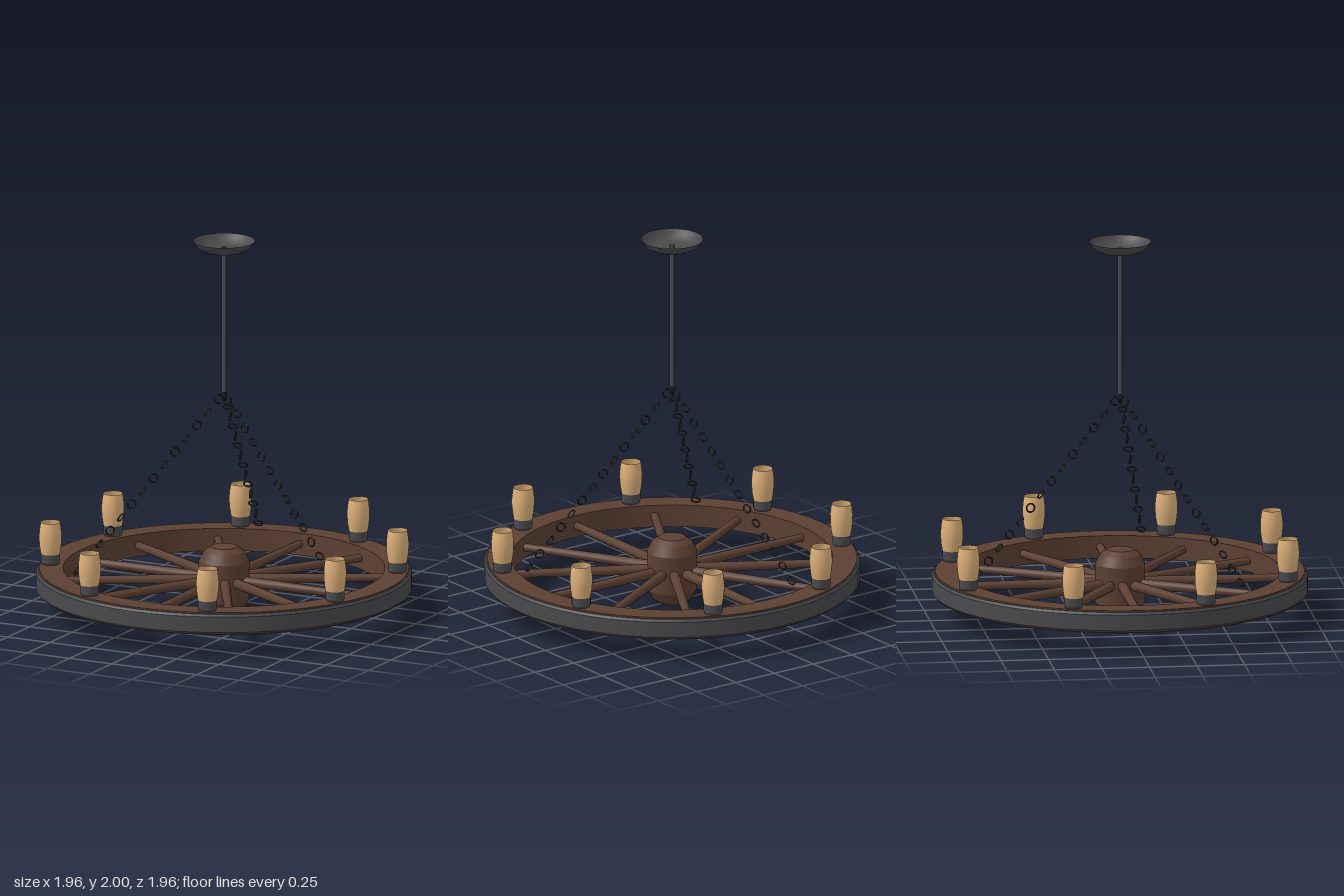
import * as THREE from 'three';

const material = (color) => new THREE.MeshStandardMaterial({ color, side: THREE.DoubleSide });
const wood = material(0x5c4033);
const iron = material(0x4a4a4d);
const chainIron = material(0x2e2e30);
const shadeTan = material(0xdeb07a);

function add(parent, name, geometry, mat) {
  const mesh = new THREE.Mesh(geometry, mat);
  mesh.name = name;
  parent.add(mesh);
  return mesh;
}

// Turned shape from [radius, height] pairs; sharp profiles double each inner point for crisp edges
function turned(points, segments, sharp = false) {
  const pts = points.flatMap(([r, y], i) => {
    const p = new THREE.Vector2(r, y);
    return sharp && i > 0 && i < points.length - 1 ? [p, p.clone()] : [p];
  });
  if (!sharp) return new THREE.LatheGeometry(pts, segments);
  const geo = new THREE.LatheGeometry(pts, segments).toNonIndexed();
  // Normals from each band's slope, smooth around the axis
  const pos = geo.attributes.position, nor = geo.attributes.normal;
  for (let i = 0; i < pos.count; i += 3) {
    const v = [0, 1, 2].map((k) => new THREE.Vector3().fromBufferAttribute(pos, i + k));
    const face = v[1].clone().sub(v[0]).cross(v[2].clone().sub(v[0])).normalize();
    const mid = v[0].clone().add(v[1]).add(v[2]).setY(0).normalize();
    const radial = face.dot(mid);
    v.forEach((p, k) => {
      const out = p.setY(0).lengthSq() > 1e-8 ? p.normalize() : mid;
      const n = out.clone().multiplyScalar(radial).setY(face.y).normalize();
      nor.setXYZ(i + k, n.x, n.y, n.z);
    });
  }
  return geo;
}

export function createModel() {
  const model = new THREE.Group();
  model.name = 'wagonWheelChandelier';

  // Wheel: wooden rim, iron tyre, hub and spokes
  const wheel = new THREE.Group();
  wheel.name = 'wheel';
  model.add(wheel);
  add(wheel, 'rim', turned(
    [[0.84, 0.12], [0.965, 0.12], [0.965, 0.24], [0.84, 0.24], [0.84, 0.12]], 64, true), wood);
  add(wheel, 'ironTyre', turned(
    [[0.962, 0.125], [0.972, 0.125], [0.982, 0.137], [0.982, 0.22], [0.972, 0.232], [0.962, 0.232]],
    64, true), iron);
  add(wheel, 'hub', turned(
    [[0, 0], [0.07, 0], [0.105, 0.025], [0.132, 0.075], [0.132, 0.28], [0.105, 0.33], [0.07, 0.355], [0, 0.355]],
    24, true), wood);

  const spokeGeometry = new THREE.CylinderGeometry(0.021, 0.028, 0.77, 12)
    .rotateZ(-Math.PI / 2).translate(0.47, 0.18, 0);
  for (let i = 0; i < 12; i++) {
    add(wheel, 'spoke', spokeGeometry, wood).rotation.y = (i * Math.PI) / 6;
  }

  // Lamps: iron cup and open barrel-shaped shade
  const cupGeometry = turned(
    [[0, 0.235], [0.042, 0.235], [0.05, 0.252], [0.05, 0.305], [0, 0.305]], 20, true);
  const shadeGeometry = turned(
    [[0.05, 0.295], [0.056, 0.33], [0.0595, 0.37], [0.0595, 0.4], [0.056, 0.435], [0.051, 0.465]], 20);
  for (let i = 0; i < 8; i++) {
    const a = ((i + 0.5) * Math.PI) / 4;
    const lamp = new THREE.Group();
    lamp.name = 'lamp';
    lamp.position.set(0.91 * Math.cos(a), 0, 0.91 * Math.sin(a));
    add(lamp, 'lampCup', cupGeometry, iron);
    add(lamp, 'lampShade', shadeGeometry, shadeTan);
    model.add(lamp);
  }

  // Chains: links run from the rod to the rim, every other one turned a quarter
  const top = new THREE.Vector3(0.03, 1.15, 0);
  const bottom = new THREE.Vector3(0.8, 0.285, 0);
  const slope = Math.atan2(bottom.y - top.y, bottom.x - top.x);
  const linkGeometry = new THREE.TorusGeometry(0.0225, 0.0045, 8, 20);
  for (let c = 0; c < 3; c++) {
    const chain = new THREE.Group();
    chain.name = 'chain';
    chain.rotation.y = -(Math.PI / 12 + (c * 2 * Math.PI) / 3);
    for (let i = 0; i < 14; i++) {
      const link = add(chain, 'chainLink', linkGeometry, chainIron);
      link.position.lerpVectors(top, bottom, i / 13);
      link.rotation.z = slope;
      if (i % 2) link.rotateX(Math.PI / 2);
    }
    model.add(chain);
  }

  // Hanging rod and ceiling dish
  add(model, 'rod', new THREE.CylinderGeometry(0.014, 0.014, 0.78, 12).translate(0, 1.575, 0), iron);
  add(model, 'ceilingDish', turned(
    [[0, 1.945], [0.06, 1.945], [0.108, 1.947], [0.135, 1.962], [0.152, 1.982], [0.162, 2]], 32), iron);

  return model;
}
